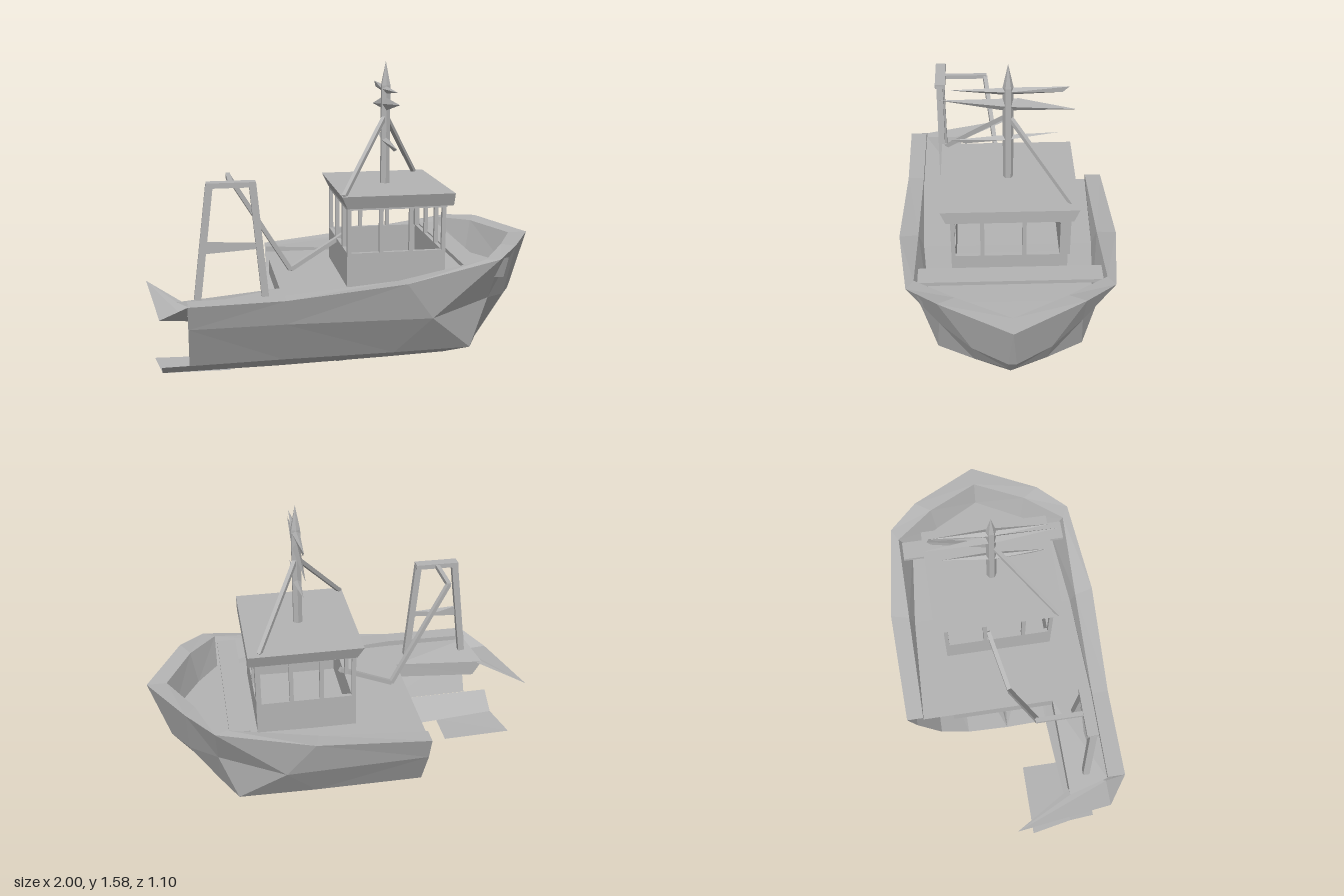
import * as THREE from 'three';

const hullGrey = new THREE.MeshStandardMaterial({ color: 0xb4b4b4, flatShading: true, side: THREE.DoubleSide });
hullGrey.name = 'hullGrey';

export function createModel() {
  const boat = new THREE.Group();
  boat.name = 'fishingBoat';

  const add = (geometry, name, parent = boat) => {
    const mesh = new THREE.Mesh(geometry, hullGrey);
    mesh.name = name;
    parent.add(mesh);
    return mesh;
  };
  const group = (name) => {
    const g = new THREE.Group();
    g.name = name;
    boat.add(g);
    return g;
  };
  const box = (name, x0, x1, y0, y1, z0, z1, parent) =>
    add(new THREE.BoxGeometry(x1 - x0, y1 - y0, z1 - z0), name, parent)
      .position.set((x0 + x1) / 2, (y0 + y1) / 2, (z0 + z1) / 2);
  // Square bar between two points
  const bar = (name, a, b, size, parent) => {
    const from = new THREE.Vector3(...a), to = new THREE.Vector3(...b);
    const mesh = add(new THREE.BoxGeometry(size, size, from.distanceTo(to)), name, parent);
    mesh.position.copy(from).add(to).multiplyScalar(0.5);
    mesh.lookAt(to);
  };
  // Faceted surface from fans of corner points
  const faces = (name, polygons, parent) => {
    const out = [];
    for (const p of polygons)
      for (let i = 1; i < p.length - 1; i++) out.push(...p[0], ...p[i], ...p[i + 1]);
    const g = new THREE.BufferGeometry();
    g.setAttribute('position', new THREE.Float32BufferAttribute(out, 3));
    g.computeVertexNormals();
    return add(g, name, parent);
  };

  // Hull lines from stern to stem, for the +z side
  const finEdge = [[-0.35, 0.065, 0], [-0.35, 0.065, 0], [-0.02, 0.003, 0], [0.3, 0.028, 0], [0.65, 0.05, 0], [0.65, 0.05, 0]];
  const keel = [[-0.35, 0.068, 0], [-0.35, 0.068, 0], [-0.02, 0.045, 0.03], [0.35, 0.045, 0.025], [0.65, 0.05, 0], [0.65, 0.05, 0]];
  const bilge = [[-0.93, 0.105, 0.26], [-0.35, 0.09, 0.22], [0.2, 0.1, 0.22], [0.5, 0.1, 0.2], [0.65, 0.05, 0], [0.65, 0.05, 0]];
  const chine = [[-0.93, 0.18, 0.38], [-0.35, 0.18, 0.37], [0.2, 0.18, 0.37], [0.59, 0.18, 0.36], [0.675, 0.17, 0.18], [0.75, 0.18, 0.02]];
  const sideFoot = [[-0.8, 0.18, 0.38], ...chine.slice(1)];
  const knee = [[-0.8, 0.4, 0.49], [-0.35, 0.4, 0.49], [0.36, 0.39, 0.495], [0.68, 0.43, 0.345], [0.815, 0.395, 0.19], [0.9, 0.37, 0.02]];
  const sheer = [[-0.8, 0.525, 0.54], [-0.35, 0.53, 0.535], [0.22, 0.585, 0.55], [0.69, 0.665, 0.49], [0.82, 0.69, 0.34], [1, 0.67, 0]];
  const rail = [[-0.8, 0.525, 0.45], [-0.35, 0.53, 0.45], [0.2, 0.575, 0.455], [0.63, 0.66, 0.455], [0.77, 0.68, 0.26], [0.9, 0.67, 0]];
  const deck = [[-0.8, 0.5, 0.45], [-0.35, 0.5, 0.45], [0.2, 0.5, 0.43], [0.63, 0.51, 0.39], [0.74, 0.51, 0.24], [0.87, 0.51, 0]];
  const middle = deck.map(([x, y]) => [x, y, 0]);

  // Each strip joins two lines; flip chooses the other diagonal
  const strip = (name, lower, upper, side, start, flip = false) => {
    const polygons = [];
    for (let i = start; i < lower.length - 1; i++) {
      const q = [lower[i], lower[i + 1], upper[i + 1], upper[i]].map(([x, y, z]) => [x, y, z * side]);
      if (flip) q.push(q.shift());
      polygons.push(side > 0 ? q : [q[0], q[3], q[2], q[1]]);
    }
    faces(name, polygons);
  };
  // The +z side runs to the stern; the -z side stops at the open after end
  for (const side of [1, -1]) {
    const start = side > 0 ? 0 : 1;
    strip('keelFin', finEdge, keel, side, 1);
    strip('hullBottom', keel, bilge, side, 1);
    strip('hullBilge', bilge, chine, side, start);
    strip('hullSide', sideFoot, knee, side, start, true);
    strip('hullTopside', knee, sheer, side, start);
    strip('gunwale', sheer, rail, side, start);
    strip('bulwark', rail, deck, side, start);
    strip('deck', deck, middle, side, 1);
  }
  // Narrow stem face closing the two sides
  faces('stem', [
    [[0.65, 0.05, 0], [0.75, 0.18, -0.02], [0.75, 0.18, 0.02]],
    [[0.75, 0.18, 0.02], [0.75, 0.18, -0.02], [0.9, 0.37, -0.02], [0.9, 0.37, 0.02]],
    [[0.9, 0.37, 0.02], [0.9, 0.37, -0.02], [1, 0.67, 0]],
  ]);
  // Small triangular fairlead on the +z bow
  faces('fairlead', [
    [[0.68, 0.56, 0.43], [0.74, 0.55, 0.4], [0.715, 0.66, 0.445]],
    [[0.74, 0.55, 0.4], [0.76, 0.65, 0.41], [0.715, 0.66, 0.445]],
  ]);

  // Side deck aft, with a shallow skirt below the deck edge
  faces('aftDeck', [[[-0.8, 0.5, 0.45], [-0.35, 0.5, 0.45], [-0.35, 0.5, 0.24], [-0.85, 0.46, 0.25]]]);
  faces('deckSkirt', [
    [[-0.35, 0.5, -0.29], [-0.35, 0.5, 0.24], [-0.35, 0.42, 0.24], [-0.35, 0.42, -0.29]],
    [[-0.35, 0.5, 0.24], [-0.85, 0.46, 0.25], [-0.8, 0.38, 0.25], [-0.35, 0.42, 0.24]],
  ]);
  // Loose plates at the stern
  faces('sternPlate', [
    [[-1, 0.485, -0.05], [-0.93, 0.44, 0.45], [-0.8, 0.43, 0.45], [-0.77, 0.45, 0.33], [-0.85, 0.46, 0.25]],
    [[-0.93, 0.44, 0.45], [-0.8, 0.525, 0.54], [-0.8, 0.43, 0.45]],
  ]);
  faces('sternFloor', [[[-0.6, 0.095, 0.25], [-0.6, 0.095, 0.05], [-0.97, 0.105, 0.05], [-0.93, 0.105, 0.26]]]);

  // Plank across the bow
  box('bowPlank', 0.52, 0.62, 0.615, 0.635, -0.44, 0.44);

  // Wheelhouse: low walls, posts and overhanging roof
  const house = group('wheelhouse');
  for (const z of [-0.27, 0.27]) {
    box('sideWall', -0.02, 0.475, 0.5, 0.67, z - 0.01, z + 0.01, house);
    for (const x of [-0.01, 0.15, 0.3, 0.465])
      box('sidePost', x - 0.01, x + 0.01, 0.67, 0.91, z - 0.01, z + 0.01, house);
  }
  for (const x of [-0.01, 0.465]) {
    box('endWall', x - 0.01, x + 0.01, 0.5, 0.67, -0.27, 0.27, house);
    for (const z of [-0.07, 0.13])
      box('endPost', x - 0.01, x + 0.01, 0.67, 0.91, z - 0.01, z + 0.01, house);
  }
  box('cornerPanel', 0.45, 0.475, 0.67, 0.91, -0.29, -0.24, house);
  box('windowHeader', -0.02, 0.48, 0.885, 0.91, -0.28, 0.28, house);
  const roof = new THREE.BoxGeometry(0.56, 0.065, 0.65);
  const rp = roof.attributes.position;
  for (let i = 0; i < rp.count; i++)
    if (rp.getY(i) < 0) rp.setXYZ(i, Math.max(rp.getX(i), -0.25), rp.getY(i), rp.getZ(i) * 0.92);
  add(roof, 'roof', house).position.set(0.228, 0.93, 0);

  // Mast with pointed top, stays and flat spars
  const mast = group('mast');
  const mx = 0.225;
  add(new THREE.LatheGeometry([[0.025, 0.96], [0.025, 1.46], [0, 1.58]].map((p) => new THREE.Vector2(...p)), 6), 'mastPole', mast).position.x = mx;
  bar('stay', [mx, 1.31, 0], [0.45, 0.96, -0.29], 0.02, mast);
  bar('stay', [mx, 1.31, 0], [-0.04, 0.96, 0.3], 0.02, mast);
  // Each spar: z and y of its corners, closed over a thin ridge
  const spar = (corners) => {
    const edge = corners.map(([z, y]) => [mx, y, z]);
    const cy = corners.reduce((sum, c) => sum + c[1], 0) / corners.length;
    const polygons = [];
    for (const s of [1, -1])
      edge.forEach((p, i) => {
        const t = [[mx + s * 0.02, cy, 0], p, edge[(i + 1) % edge.length]];
        polygons.push(s > 0 ? t : t.reverse());
      });
    faces('spar', polygons, mast);
  };
  spar([[0.27, 1.448], [0.02, 1.42], [-0.25, 1.43], [-0.28, 1.458], [-0.02, 1.458]]);
  spar([[0.32, 1.395], [0.02, 1.335], [-0.32, 1.335], [-0.05, 1.4]]);
  spar([[0.27, 1.175], [0.2, 1.155], [-0.24, 1.21], [0, 1.2]]);

  // Working gantry on the side deck
  const gantry = group('gantry');
  bar('leg', [-0.75, 0.5, 0.345], [-0.68, 1.05, 0.345], 0.034, gantry);
  bar('leg', [-0.43, 0.5, 0.345], [-0.48, 1.05, 0.345], 0.034, gantry);
  box('topBeam', -0.695, -0.465, 1.035, 1.06, 0.315, 0.37, gantry);
  faces('crossPlate', [[[-0.72, 0.78, 0.35], [-0.71, 0.72, 0.35], [-0.455, 0.735, 0.35], [-0.46, 0.765, 0.35], [-0.6, 0.755, 0.34]]], gantry);
  bar('arm', [-0.58, 1.045, 0.34], [-0.58, 1.045, 0.09], 0.022, gantry);
  bar('boom', [-0.58, 1.045, 0.1], [-0.27, 0.53, 0.02], 0.022, gantry);
  bar('boomFoot', [-0.27, 0.53, 0.02], [0.02, 0.685, -0.05], 0.022, gantry);

  return boat;
}
